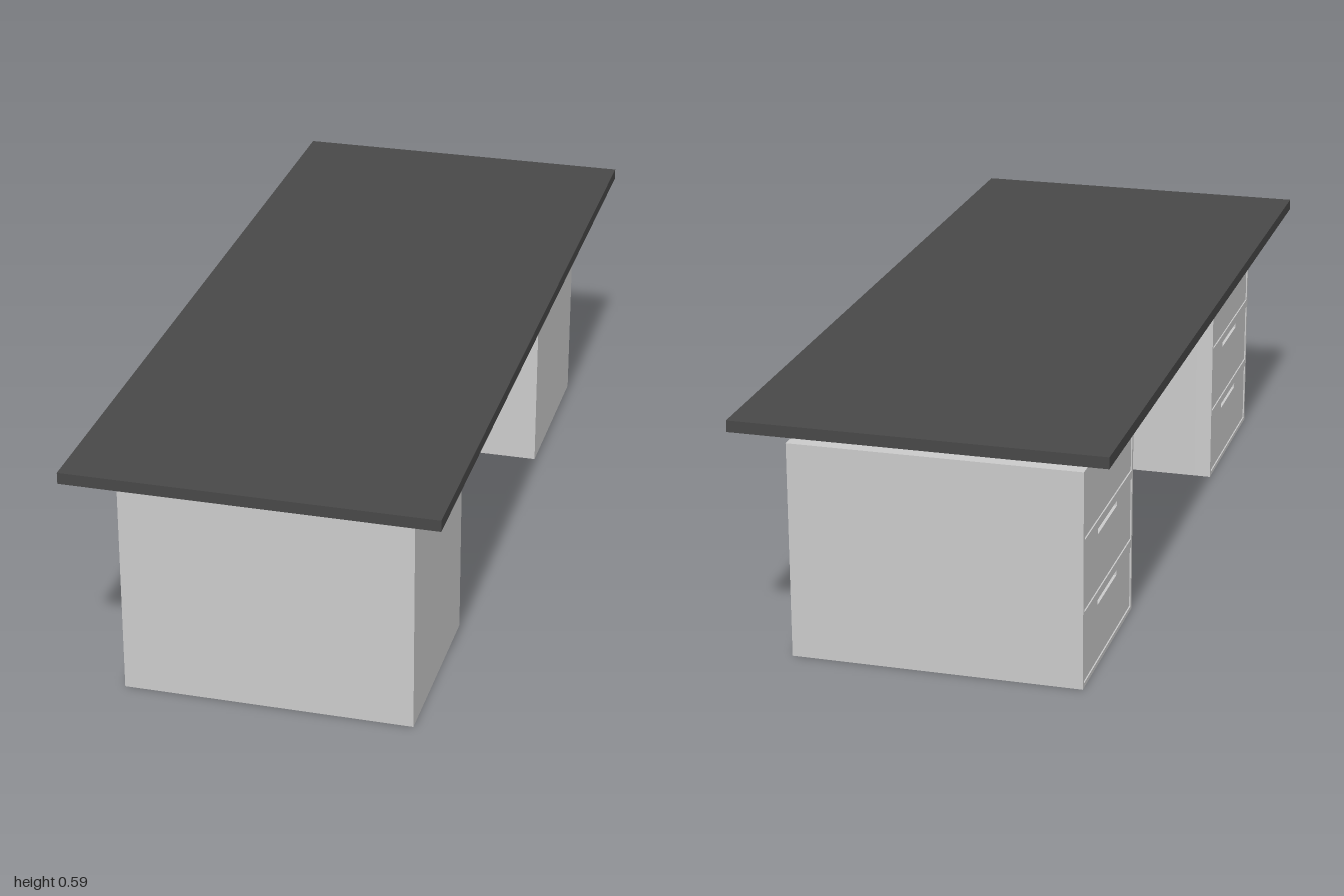
import * as THREE from 'three';

const grey = new THREE.MeshStandardMaterial({ color: 0xcccccc });
const dark = new THREE.MeshStandardMaterial({ color: 0x484848 });

const HALF_X = 0.33, HEIGHT = 0.5, HALF_Z = 0.2225, FRONT_X = -0.29;
const WALL = 0.01, STRIP = 0.02;
const DRAWER_H = (HEIGHT - 2 * WALL - 2 * STRIP) / 3;
const DRAWER_Z = HALF_Z - WALL;

function add(parent, name, geometry, material, x, y, z) {
  const mesh = new THREE.Mesh(geometry, material);
  mesh.name = name;
  mesh.position.set(x, y, z);
  parent.add(mesh);
}

function polygon(points) {
  return new THREE.Shape(points.map(([z, y]) => new THREE.Vector2(z, y)));
}

function rectangle(halfZ, y0, y1) {
  return polygon([[-halfZ, y0], [halfZ, y0], [halfZ, y1], [-halfZ, y1]]);
}

// Extrudes a (z, y) outline towards -x
function panel(shape, depth) {
  return new THREE.ExtrudeGeometry(shape, { depth, bevelEnabled: false }).rotateY(-Math.PI / 2);
}

// Drawer front with a finger notch in its top edge
function drawerShape(y0) {
  const y1 = y0 + DRAWER_H, notch = 0.085, yn = y1 - 0.017;
  return polygon([
    [-DRAWER_Z, y0], [DRAWER_Z, y0], [DRAWER_Z, y1], [notch, y1],
    [notch, yn], [-notch, yn], [-notch, y1], [-DRAWER_Z, y1],
  ]);
}

function createPedestal() {
  const pedestal = new THREE.Group();

  // Solid body behind the drawer fronts
  add(pedestal, 'cabinetBody', new THREE.BoxGeometry(HALF_X - FRONT_X, HEIGHT, 2 * HALF_Z),
    grey, (HALF_X + FRONT_X) / 2, HEIGHT / 2, 0);

  // Frame with three openings, each filled by a slightly recessed drawer
  const frame = rectangle(HALF_Z, 0, HEIGHT);
  for (let i = 0; i < 3; i++) {
    const y0 = WALL + i * (DRAWER_H + STRIP);
    frame.holes.push(rectangle(DRAWER_Z, y0, y0 + DRAWER_H));
    add(pedestal, 'drawerFront', panel(drawerShape(y0), 0.037), grey, FRONT_X, 0, 0);
  }
  add(pedestal, 'cabinetFrame', panel(frame, 0.04), grey, FRONT_X, 0, 0);

  // Round spacers carrying the top
  for (const x of [-0.248, 0.248])
    for (const z of [-0.155, 0.155])
      add(pedestal, 'spacer', new THREE.CylinderGeometry(0.03, 0.03, 0.063, 32), grey, x, 0.5315, z);

  return pedestal;
}

export function createModel() {
  const desk = new THREE.Group();
  desk.name = 'desk';

  add(desk, 'deskTop', new THREE.BoxGeometry(0.83, 0.026, 2), dark, 0, 0.575, 0);

  for (const side of [-1, 1]) {
    const pedestal = createPedestal();
    pedestal.name = side > 0 ? 'frontPedestal' : 'backPedestal';
    pedestal.position.z = side * 0.6525;
    desk.add(pedestal);
  }
  return desk;
}
